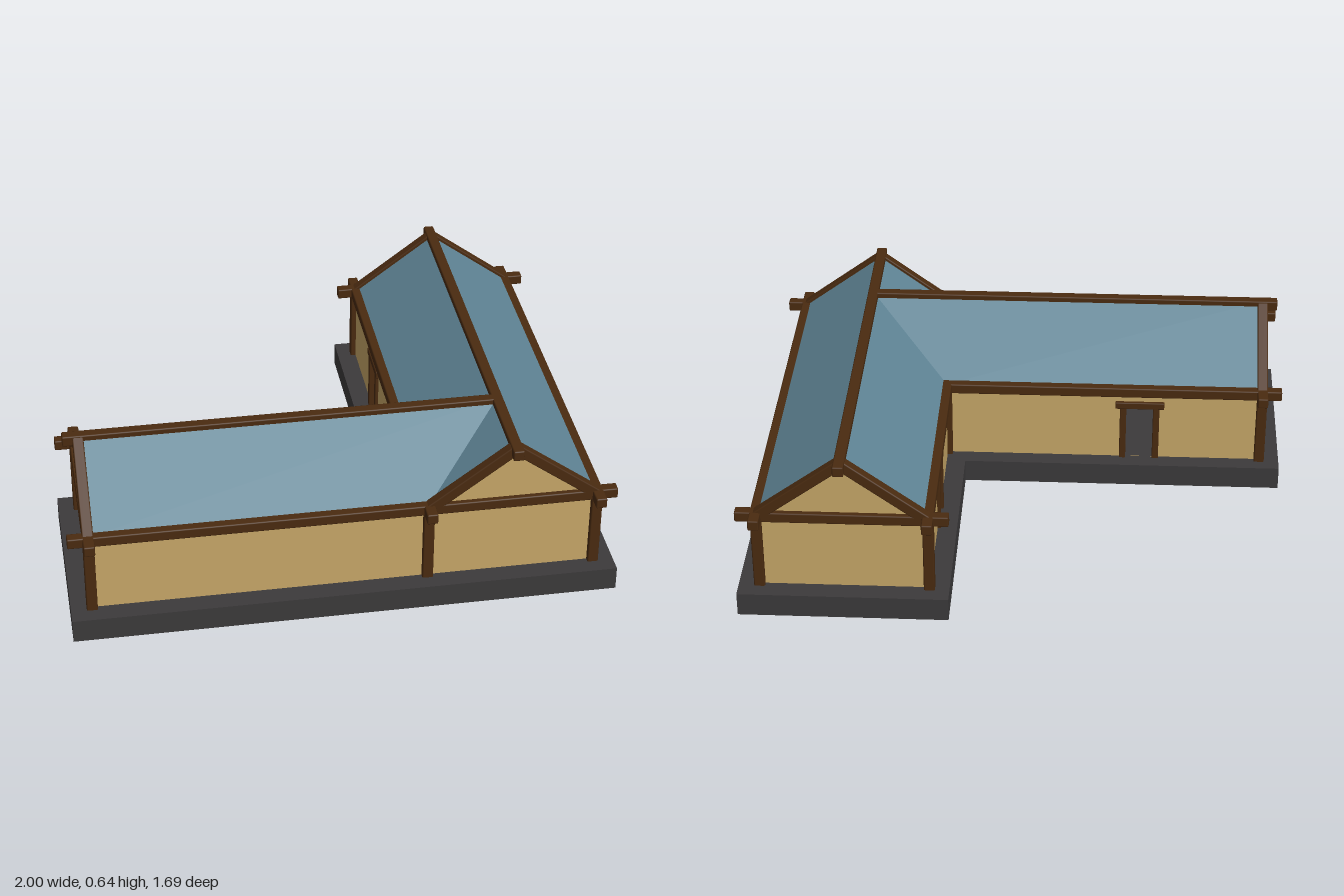
import * as THREE from 'three';
import { RoundedBoxGeometry } from 'three/addons/geometries/RoundedBoxGeometry.js';

const mat = (name, color, side = THREE.FrontSide) => {
  const m = new THREE.MeshStandardMaterial({ color, side });
  m.name = name;
  return m;
};

export function createModel() {
  const stone = mat('stone', 0x3c3a3b);
  const plaster = mat('plaster', 0xc8a868, THREE.DoubleSide);
  const slate = mat('slate', 0x5f8495, THREE.DoubleSide);
  const timber = mat('timber', 0x4a2b10);

  // Wall lines (W west, I inner, E east / N back, C court, S front) and heights
  const W = -0.923, I = 0.303, E = 0.923, N = -0.767, C = 0.147, S = 0.767;
  const RX = (I + E) / 2, RZ = (C + S) / 2;
  const floor = 0.09, eave = 0.39, roofEave = 0.4, ridge = 0.63;
  const doorHalf = 0.055, doorTop = 0.32;

  const model = new THREE.Group();
  model.name = 'house';
  const add = (name, geometry, material, parent = model) => {
    const mesh = new THREE.Mesh(geometry, material);
    mesh.name = name;
    parent.add(mesh);
    return mesh;
  };

  // Chamfered square timber between two points
  const beam = (name, a, b, size = 0.04, parent = model) => {
    const from = new THREE.Vector3(...a), to = new THREE.Vector3(...b);
    const mesh = add(name, new RoundedBoxGeometry(size, size, from.distanceTo(to), 1, size * 0.12), timber, parent);
    mesh.position.copy(from).add(to).multiplyScalar(0.5);
    mesh.lookAt(to);
    return mesh;
  };

  // L-shaped foundation
  const plan = new THREE.Shape([[-1, 0.08], [0.23, 0.08], [0.23, -0.843], [1, -0.843], [1, 0.843], [-1, 0.843]]
    .map(p => new THREE.Vector2(...p)));
  const base = new THREE.ExtrudeGeometry(plan, { depth: floor, bevelEnabled: false });
  base.rotateX(Math.PI / 2).translate(0, floor, 0);
  add('foundation', base, stone);

  // Thin wall along x or z, with an optional gable peak and doorway
  const wall = (name, axis, from, to, at, { peak, door } = {}) => {
    const pts = [[from, floor], [to, floor], [to, roofEave]];
    if (peak !== undefined) pts.push([peak, ridge]);
    pts.push([from, roofEave]);
    const shape = new THREE.Shape(pts.map(p => new THREE.Vector2(...p)));
    if (door !== undefined) {
      const l = door - doorHalf, r = door + doorHalf, b = floor + 0.001;
      shape.holes.push(new THREE.Path([[l, b], [l, doorTop], [r, doorTop], [r, b]]
        .map(p => new THREE.Vector2(...p))));
    }
    const g = new THREE.ShapeGeometry(shape);
    if (axis === 'z') g.rotateY(-Math.PI / 2).translate(at, 0, 0);
    else g.translate(0, 0, at);
    add(name, g, plaster);
  };
  const doorX = -0.45, doorZ = -0.31;
  wall('frontWall', 'x', W, I, S);
  wall('frontGableWall', 'x', I, E, S, { peak: RX });
  wall('backGableWall', 'x', I, E, N, { peak: RX });
  wall('courtWall', 'x', W, I, C, { door: doorX });
  wall('eastWall', 'z', N, S, E);
  wall('innerWall', 'z', N, C, I, { door: doorZ });
  wall('westGableWall', 'z', C, S, W, { peak: RZ });

  // Roof slopes, mitred along the valleys
  const slope = (name, pts) => {
    const g = new THREE.BufferGeometry();
    g.setAttribute('position', new THREE.Float32BufferAttribute(pts.flat(), 3));
    g.setIndex(pts.length === 4 ? [0, 1, 2, 0, 2, 3] : [0, 1, 2]);
    g.computeVertexNormals();
    add(name, g, slate);
  };
  const e = roofEave, r = ridge;
  slope('eastRoof', [[E, e, S], [E, e, N], [RX, r, N], [RX, r, S]]);
  slope('innerRoof', [[I, e, N], [I, e, C], [RX, r, RZ], [RX, r, N]]);
  slope('frontGableRoof', [[I, e, S], [RX, r, S], [RX, r, RZ]]);
  slope('courtRoof', [[I, e, C], [W, e, C], [W, r, RZ], [RX, r, RZ]]);
  slope('frontRoof', [[W, e, S], [I, e, S], [RX, r, RZ], [W, r, RZ]]);

  // Corner posts
  for (const [x, z] of [[W, S], [I, S], [E, S], [E, N], [I, N], [I, C], [W, C]])
    beam('post', [x, floor - 0.005, z], [x, eave, z]);

  // Eave and tie beams with projecting ends
  const out = 0.075;
  beam('frontBeam', [W - out, eave, S], [E + out, eave, S]);
  beam('backBeam', [I - out, eave, N], [E + out, eave, N]);
  beam('courtBeam', [W - out, eave, C], [I + 0.02, eave, C]);
  beam('eastBeam', [E, eave, N - out], [E, eave, S + out]);
  beam('innerBeam', [I, eave, N - out], [I, eave, C + 0.02]);
  beam('innerBeamEnd', [I, eave, S - 0.02], [I, eave, S + out]);
  beam('westBeam', [W, eave, C - out], [W, eave, S + out]);

  // Ridge beams
  const ry = 0.616;
  beam('mainRidgeBeam', [RX, ry, N - 0.057], [RX, ry, S + 0.053]);
  beam('sideRidgeBeam', [-0.98, ry, RZ], [RX, ry, RZ]);

  // Gable rafters
  for (const z of [N, S])
    for (const x of [I, E]) beam('rafter', [x, eave, z], [RX, 0.62, z]);
  for (const z of [C, S]) beam('rafter', [W, eave, z], [W, 0.62, RZ]);

  // Door frames
  const doorFrame = (name, x, z, turn) => {
    const frame = new THREE.Group();
    frame.name = name;
    const t = 0.025, j = doorHalf + t / 2 - 0.003;
    for (const s of [-1, 1]) beam('doorJamb', [s * j, floor - 0.003, 0], [s * j, doorTop, 0], t, frame);
    beam('doorLintel', [-0.095, doorTop + 0.008, 0], [0.095, doorTop + 0.008, 0], t + 0.003, frame);
    frame.position.set(x, 0, z);
    frame.rotation.y = turn;
    model.add(frame);
  };
  doorFrame('courtDoorFrame', doorX, C, 0);
  doorFrame('innerDoorFrame', I, doorZ, Math.PI / 2);

  return model;
}
